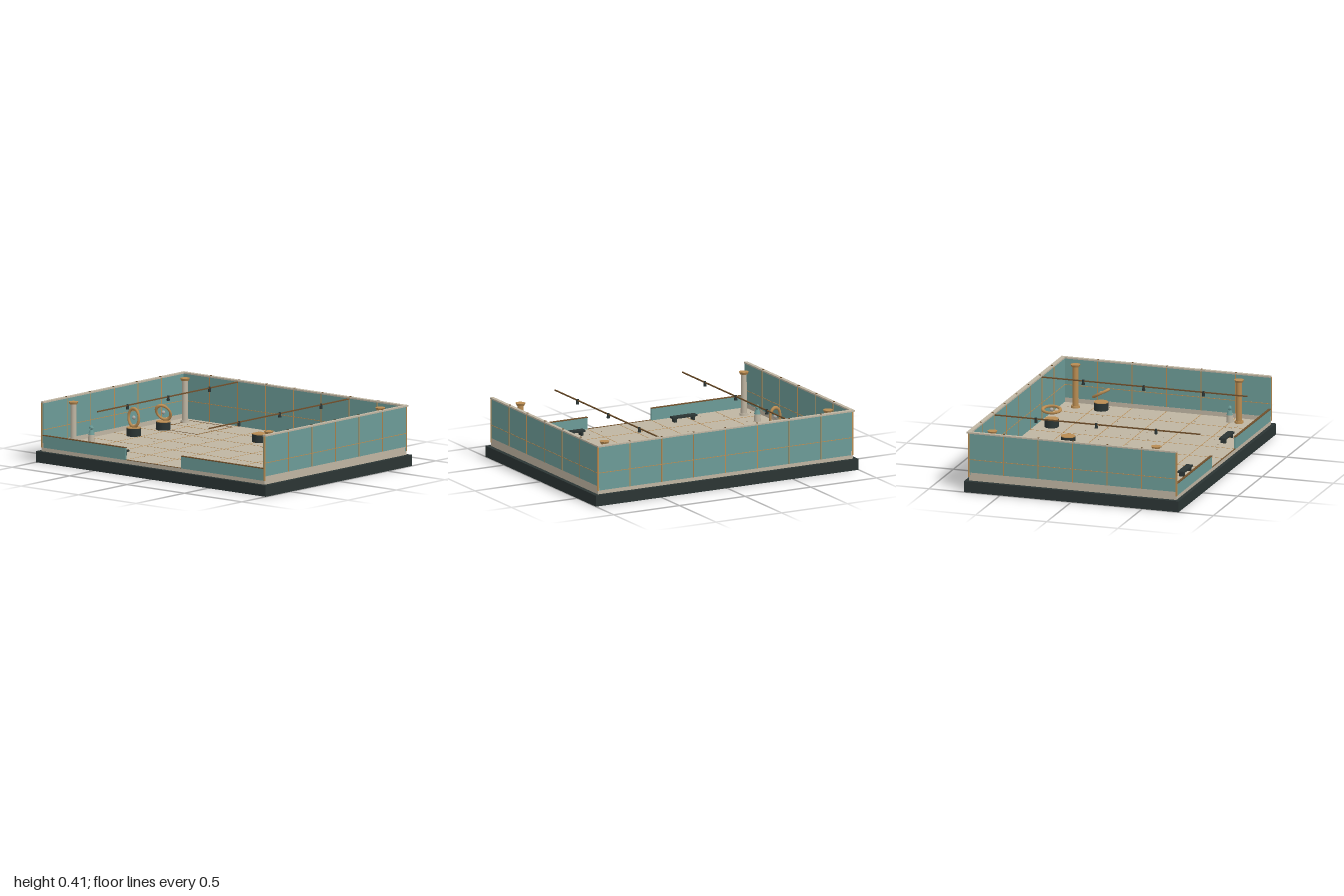
import * as THREE from 'three';

const mat = (name, color) => {
  const m = new THREE.MeshStandardMaterial({ color });
  m.name = name;
  return m;
};

export function createModel() {
  const model = new THREE.Group();
  model.name = 'galleryRoom';
  const dark = mat('charcoal', 0x2b3534);
  const stone = mat('stone', 0xbfb5a2);
  const teal = mat('teal', 0x6c9b97);
  const gold = mat('gold', 0xb98c52);
  const bronze = mat('bronze', 0x70502c);
  const grey = mat('silver', 0xaaa9a4);

  const add = (name, geo, material, x, y, z, parent = model) => {
    const m = new THREE.Mesh(geo, material);
    m.name = name;
    m.position.set(x, y, z);
    parent.add(m);
    return m;
  };
  // Box given by its limits on each axis
  const box = (name, material, x0, x1, y0, y1, z0, z1, parent = model) =>
    add(name, new THREE.BoxGeometry(x1 - x0, y1 - y0, z1 - z0), material,
      (x0 + x1) / 2, (y0 + y1) / 2, (z0 + z1) / 2, parent);
  const cyl = (name, material, rTop, rBottom, y0, y1, x, z, sides = 24, parent = model) =>
    add(name, new THREE.CylinderGeometry(rTop, rBottom, y1 - y0, sides), material, x, (y0 + y1) / 2, z, parent);
  const group = (name, x = 0, y = 0, z = 0) => {
    const g = new THREE.Group();
    g.name = name;
    g.position.set(x, y, z);
    model.add(g);
    return g;
  };

  const F = 0.1;        // floor height
  const T = 0.4;        // wall top
  const W = 0.97;       // half width
  const D = 0.73;       // half depth
  const step = 0.2425;  // panel and tile module

  // Plinth and floor slab
  box('plinth', dark, -1, 1, 0, 0.075, -0.755, 0.755);
  box('floor', stone, -W, W, 0.075, F, -D, D);

  // Floor inlay grid
  const inlay = group('floorInlay');
  for (let i = -3; i <= 3; i++)
    box('inlayLong', gold, i * step - 0.002, i * step + 0.002, F, F + 0.001, -D, D, inlay);
  for (let i = -2; i <= 2; i++)
    box('inlayCross', gold, -W, W, F, F + 0.0012, i * step - 0.002, i * step + 0.002, inlay);

  // Rectangular outline in the back corner
  const outline = group('floorOutline');
  for (const x of [-0.85, -0.49]) box('outlineSide', bronze, x - 0.002, x + 0.002, F, F + 0.002, -0.665, -0.305, outline);
  for (const z of [-0.665, -0.305]) box('outlineEnd', bronze, -0.85, -0.49, F, F + 0.002, z - 0.002, z + 0.002, outline);

  // Small flecks in the floor
  let seed = 7;
  const rnd = () => (seed = (seed * 16807) % 2147483647) / 2147483647;
  const flecks = group('floorFlecks');
  const fleckGeo = new THREE.CylinderGeometry(0.003, 0.003, 0.001, 6);
  for (let i = 0; i < 110; i++)
    add('fleck', fleckGeo, bronze, (rnd() * 2 - 1) * 0.92, F + 0.0005, (rnd() * 2 - 1) * 0.69, flecks);

  // Back wall with joints, rail and cap
  const back = group('backWall');
  box('backPanel', teal, -W, W, F, T, -D, -D + 0.014, back);
  box('backRail', gold, -W, W, 0.218, 0.222, -D - 0.002, -D + 0.016, back);
  box('backCap', stone, -0.978, 0.978, T, T + 0.01, -0.745, -0.715, back);
  for (let i = -3; i <= 3; i++) {
    const x = i * step;
    box('backJoint', gold, x - 0.003, x + 0.003, F, T + 0.002, -D - 0.003, -D + 0.017, back);
    box('backStud', bronze, x - 0.004, x + 0.004, T, T + 0.014, -D - 0.004, -D + 0.008, back);
  }

  // Side walls and the low front walls, mirrored
  for (const s of [-1, 1]) {
    const side = group(s > 0 ? 'leftWall' : 'rightWall');
    const xBox = (name, m, a, b, ...rest) =>
      box(name, m, Math.min(s * a, s * b), Math.max(s * a, s * b), ...rest, side);
    xBox('sideCurb', stone, 0.955, W, F, 0.13, -D, D);
    xBox('sidePanel', teal, 0.956, W, 0.13, T, -D, D);
    xBox('sideRail', gold, 0.954, 0.972, 0.218, 0.222, -D, D);
    xBox('sideCap', stone, 0.953, 0.978, T, T + 0.01, -0.745, D);
    for (let i = -2; i <= 2; i++) {
      const z = i * step;
      xBox('sideJoint', gold, 0.953, 0.973, 0.13, T + 0.002, z - 0.003, z + 0.003);
      xBox('sideStud', bronze, 0.958, 0.97, T, T + 0.014, z - 0.004, z + 0.004);
    }
    for (const z of [-D, D])
      xBox('cornerPost', gold, 0.962, 0.974, F, T, z - 0.004, z + 0.004);
    xBox('frontLowWall', teal, 0.2425, 0.962, F, 0.18, 0.717, D);
    xBox('frontLowTrim', bronze, 0.2425, 0.962, 0.18, 0.185, 0.715, 0.732);
  }
  box('frontThreshold', bronze, -0.2425, 0.2425, F, F + 0.003, 0.722, 0.73);

  // Corner columns
  for (const s of [-1, 1]) for (const z of [-0.605, 0.545]) {
    const c = group('column', s * 0.85, 0, z);
    cyl('columnBase', s > 0 ? gold : stone, 0.028, 0.03, F, 0.115, 0, 0, 24, c);
    cyl('columnShaft', s > 0 ? gold : stone, 0.019, 0.021, 0.115, 0.382, 0, 0, 20, c);
    cyl('columnCapital', gold, 0.033, 0.026, 0.382, 0.398, 0, 0, 24, c);
  }

  // Overhead rods with spotlights
  for (const s of [-1, 1]) {
    const t = group('lightTrack', s * 0.485, 0, 0);
    box('trackRod', bronze, -0.004, 0.004, 0.394, 0.402, -D, D, t);
    for (const z of [-0.425, 0, 0.42]) {
      cyl('spotlight', dark, 0.009, 0.011, 0.372, 0.396, 0, z, 12, t);
      cyl('spotlightMount', dark, 0.008, 0.008, 0.396, 0.406, 0, z, 12, t);
    }
  }

  // Pedestals, each with an optional oval ring and a small bead
  const ring = new THREE.TorusGeometry(0.05, 0.01, 10, 40).scale(0.82, 1.22, 1);
  const exhibits = [
    [0, -0.365],
    [-0.785, 0, 0, 0.12, 0, 0.222],
    [-0.785, -0.305, 0.75, 0.4, 0.6, 0.215],
    [0.36, -0.605, Math.PI / 2, 0, 0.33, 0.218],
    [0.85, -0.425, 1.05, -0.2, 0, 0.215],
  ];
  for (const [x, z, rx, ry, rz, y] of exhibits) {
    const e = group('exhibit', x, 0, z);
    cyl('pedestal', dark, 0.048, 0.048, F, 0.152, 0, 0, 20, e);
    cyl('pedestalTop', gold, 0.048, 0.048, 0.152, 0.157, 0, 0, 20, e);
    if (y === undefined) continue;
    const r = add('ovalRing', ring, gold, 0, y, 0, e);
    r.rotation.set(rx, ry, rz, 'ZYX');
    add('bead', new THREE.SphereGeometry(0.013, 16, 12), grey, 0, y, 0, e);
  }

  // Small faceted figures on stone stands
  const facet = teal;
  for (const [x, z] of [[-0.85, 0.36], [0.85, 0.48]]) {
    const f = group('figure', x, 0, z);
    cyl('figureStand', stone, 0.02, 0.024, F, 0.15, 0, 0, 16, f);
    cyl('figureBody', facet, 0.012, 0.022, 0.15, 0.182, 0, 0, 7, f);
    const head = add('figureHead', new THREE.IcosahedronGeometry(0.016, 0), facet, 0, 0.196, 0, f);
    head.scale.y = 1.2;
  }

  // Benches by the entrance
  for (const s of [-1, 1]) {
    const b = group('bench', s * 0.425, 0, 0.605);
    box('benchSeat', dark, -0.0925, 0.0925, 0.126, 0.138, -0.023, 0.023, b);
    for (const x of [-0.07, 0.07])
      box('benchLeg', dark, x - 0.008, x + 0.008, F, 0.126, -0.018, 0.018, b);
  }

  return model;
}
